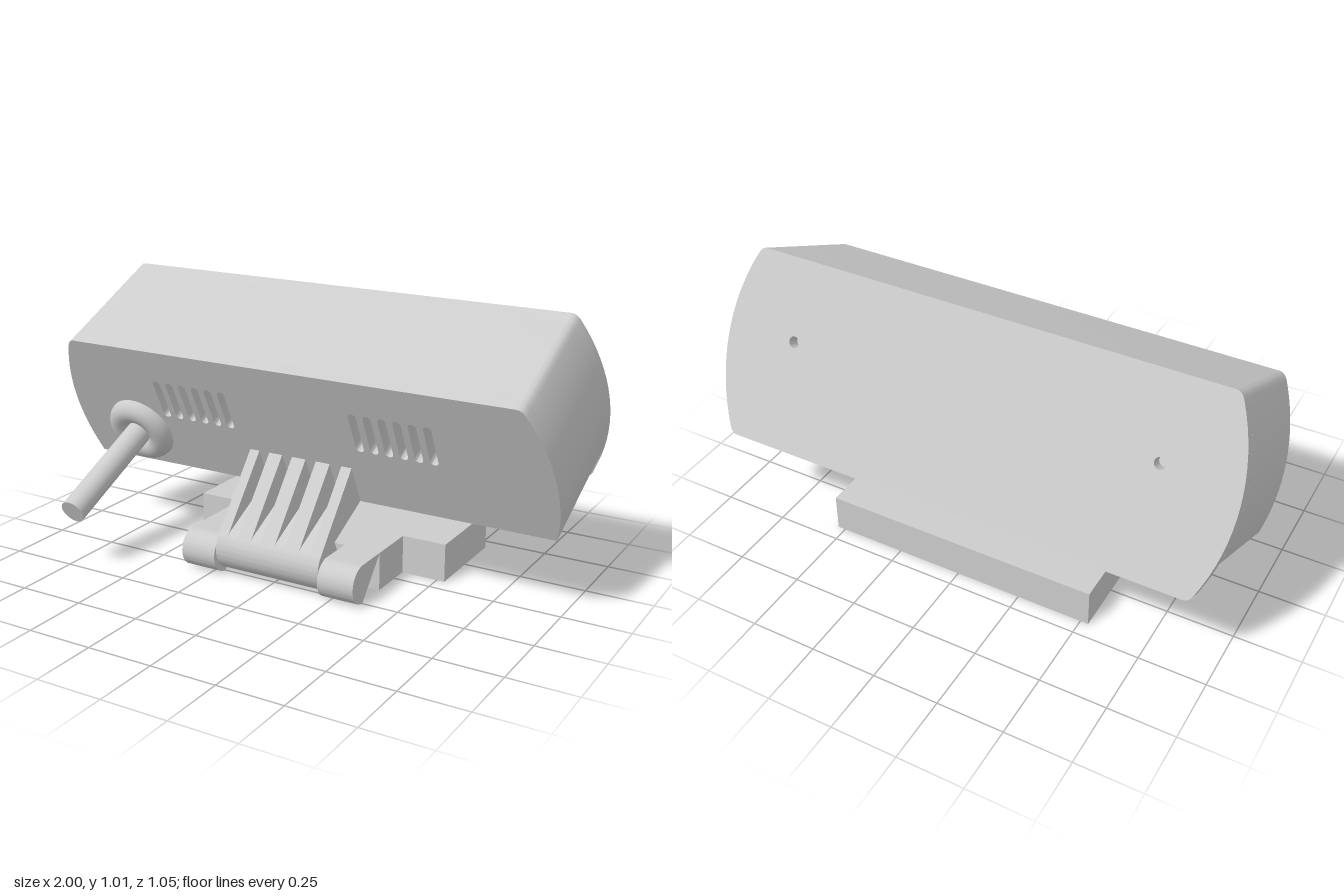
import * as THREE from 'three';
import { toCreasedNormals } from 'three/addons/utils/BufferGeometryUtils.js';

const material = new THREE.MeshStandardMaterial({ color: 0xcccccc });

function add(parent, name, geometry, x = 0, y = 0, z = 0) {
  const mesh = new THREE.Mesh(geometry, material);
  mesh.name = name;
  mesh.position.set(x, y, z);
  parent.add(mesh);
  return mesh;
}

const extrude = (shape, depth) => toCreasedNormals(
  new THREE.ExtrudeGeometry(shape, { depth, bevelEnabled: false, curveSegments: 24 }), 0.5);

// Side profile given in (z, y), extruded across x and centred on x = 0
const extrudeAcross = (shape, width) =>
  extrude(shape, width).translate(0, 0, -width / 2).rotateY(-Math.PI / 2);

const polygon = (pts) => new THREE.Shape(pts.map(([a, b]) => new THREE.Vector2(a, b)));

// Housing outline: bowed sides, flat top and bottom, softened corners
const TOP = 0.57, LIP = -0.14;
const sideX = (y) => 0.22 + Math.sqrt(0.78 ** 2 - (y - 0.215) ** 2);
function housingOutline(bottom, roundBottom) {
  const r = 0.025, steps = 16, side = [];
  const y0 = roundBottom ? bottom + r : bottom, y1 = TOP - r;
  const corner = (yEdge, yArc) => new THREE.QuadraticBezierCurve(
    new THREE.Vector2(sideX(yEdge) - 0.02, yEdge),
    new THREE.Vector2(sideX(yEdge), yEdge),
    new THREE.Vector2(sideX(yArc), yArc)).getPoints(5);
  if (roundBottom) side.push(...corner(bottom, y0).slice(0, -1));
  for (let i = 0; i <= steps; i++) {
    const y = y0 + (y1 - y0) * i / steps;
    side.push(new THREE.Vector2(sideX(y), y));
  }
  side.push(...corner(TOP, y1).reverse().slice(1));
  const mirrored = side.map((p) => new THREE.Vector2(-p.x, p.y)).reverse();
  return new THREE.Shape([...side, ...mirrored]);
}

function slot(x, y0, y1, r) {
  const path = new THREE.Path();
  path.absarc(x, y1 - r, r, 0, Math.PI);
  path.absarc(x, y0 + r, r, Math.PI, Math.PI * 2);
  path.closePath();
  return path;
}

function circle(x, y, r) {
  return new THREE.Path().absarc(x, y, r, 0, Math.PI * 2);
}

// Tilted housing, local origin on the lower front edge
function buildHousing() {
  const housing = new THREE.Group();
  housing.name = 'housing';
  housing.position.y = 0.275;
  housing.rotation.x = 0.443;

  const front = housingOutline(0, false);
  for (const s of [-1, 1])
    for (let i = 0; i < 6; i++)
      front.holes.push(slot(s * (0.272 + i * 0.0575), 0.255, 0.428, 0.016));
  add(housing, 'ventedFront', extrude(front, 0.05), 0, 0, -0.05);
  add(housing, 'housingBody', extrude(housingOutline(0, false), 0.415), 0, 0, -0.465);

  // Back plate hangs below the body as a lip
  const plate = housingOutline(LIP, true);
  for (const x of [-0.715, 0.715]) plate.holes.push(circle(x, 0.268, 0.021));
  add(housing, 'backPlate', extrude(plate, 0.05), 0, 0, -0.515);

  // Rod rising out of a rounded collar
  add(housing, 'rodCollar', new THREE.TorusGeometry(0.09, 0.05, 20, 48), -0.715, 0.167, 0);
  add(housing, 'rod', new THREE.CylinderGeometry(0.048, 0.048, 0.483, 32).rotateX(Math.PI / 2),
    -0.715, 0.167, 0.2415);
  return housing;
}

// Hinge bracket: thin floor running into a barrel, with five triangular fins
function buildBracket() {
  const bracket = new THREE.Group();
  bracket.name = 'hingeBracket';
  const core = new THREE.Shape();
  core.moveTo(0, 0.275);
  core.lineTo(0.19, 0.18);
  core.lineTo(0.147, 0.09);
  core.absarc(0.22, 0.1, 0.09, Math.PI * 1.04, Math.PI * 2 + 0.684, false);
  core.lineTo(0.277, 0.168);
  core.lineTo(0.012, 0.3);
  add(bracket, 'bracketCore', extrudeAcross(core, 0.43));
  const fin = polygon([[0.012, 0.298], [0.277, 0.166], [0.289, 0.158], [0.067, 0.426]]);
  for (const [x, w] of [[-0.195, 0.04], [-0.104, 0.056], [-0.005, 0.058], [0.096, 0.058], [0.194, 0.042]])
    add(bracket, 'fin', extrudeAcross(fin, w), x);
  return bracket;
}

// Foot: stepped block, two hinge arms, threaded socket underneath
function buildFoot() {
  const foot = new THREE.Group();
  foot.name = 'foot';
  const plan = () => polygon([[-0.36, -0.12], [0.36, -0.12], [0.36, 0.065], [0.53, 0.065],
    [0.53, 0.44], [-0.53, 0.44], [-0.53, 0.065], [-0.36, 0.065]]);
  const lower = plan();
  lower.holes.push(circle(0, 0.25, 0.078));
  add(foot, 'footLower', extrude(lower, 0.11).rotateX(-Math.PI / 2));
  add(foot, 'footTop', extrude(plan(), 0.035).rotateX(-Math.PI / 2), 0, 0.11);
  for (let i = 0; i < 5; i++)
    add(foot, 'socketThread', new THREE.TorusGeometry(0.078, 0.009, 6, 40).rotateX(Math.PI / 2),
      0, 0.014 + i * 0.021, -0.25);

  const arm = new THREE.Shape();
  arm.moveTo(0.12, 0);
  arm.absarc(0.247, 0.0725, 0.0725, -Math.PI / 2, Math.PI / 2, false);
  arm.lineTo(0.12, 0.145);
  for (const s of [-1, 1])
    add(foot, 'hingeArm', extrudeAcross(arm, 0.143), s * 0.2885);
  return foot;
}

export function createModel() {
  const model = new THREE.Group();
  model.name = 'deskDevice';
  model.add(buildHousing(), buildBracket(), buildFoot());
  return model;
}
